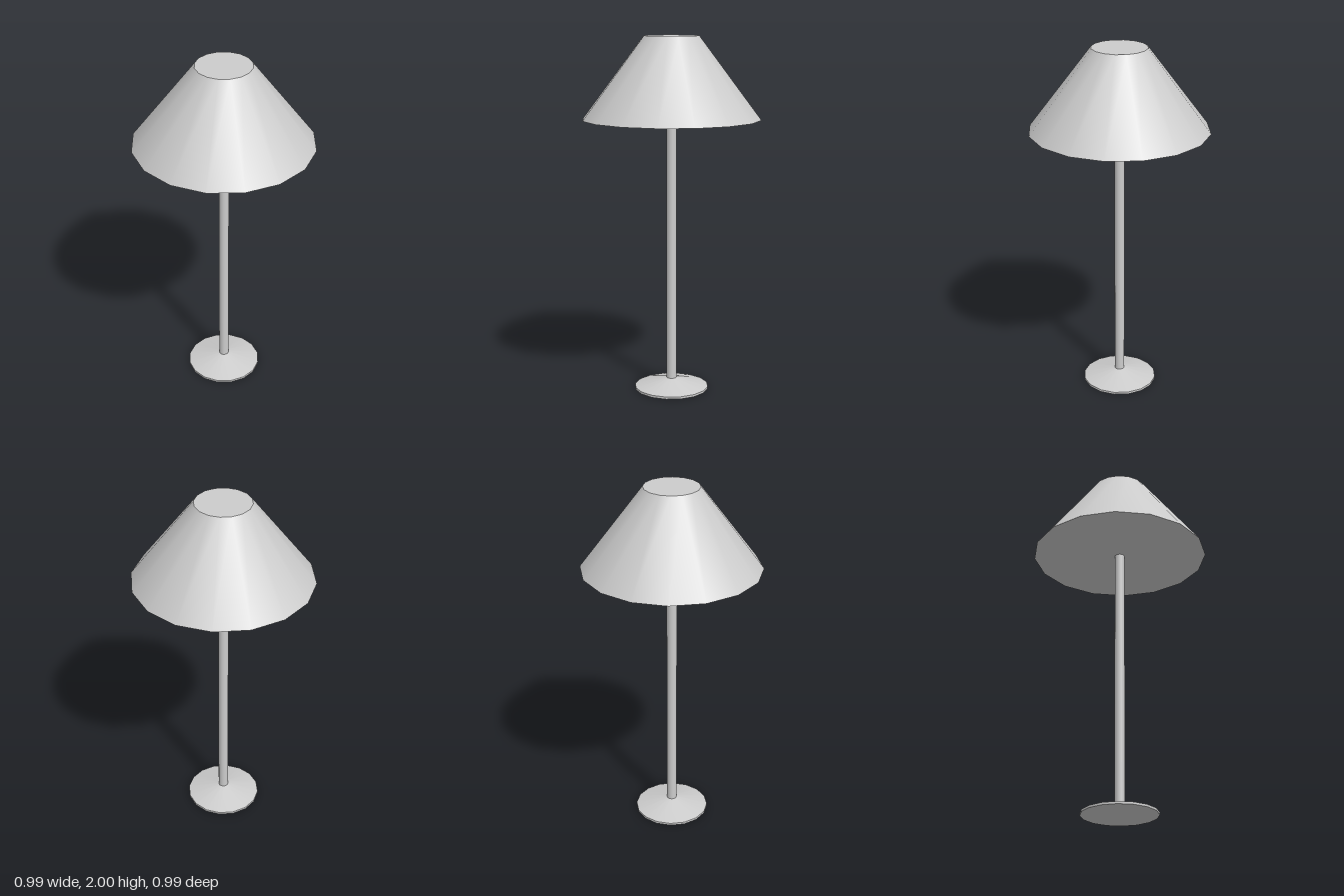
import * as THREE from 'three';

export function createModel() {
  const lamp = new THREE.Group();
  lamp.name = 'floorLamp';
  const grey = new THREE.MeshStandardMaterial({ color: 0xcccccc });
  grey.name = 'light grey';

  // Round part between two heights, closed at the chosen ends
  function addRound(name, rTop, rBottom, y0, y1, open = false) {
    const geometry = new THREE.CylinderGeometry(rTop, rBottom, y1 - y0, 16, 1, open);
    const mesh = new THREE.Mesh(geometry, grey);
    mesh.name = name;
    mesh.position.y = (y0 + y1) / 2;
    lamp.add(mesh);
    return mesh;
  }

  // Foot: a thin rim below a shallow cone
  addRound('baseRim', 0.21, 0.21, 0, 0.013);
  addRound('baseCone', 0.028, 0.21, 0.013, 0.06, true);

  // Upright pole running up to the shade
  addRound('pole', 0.028, 0.028, 0.05, 1.56);

  // Solid tapered shade, closed above and below
  addRound('shade', 0.153, 0.496, 1.545, 2);

  return lamp;
}
